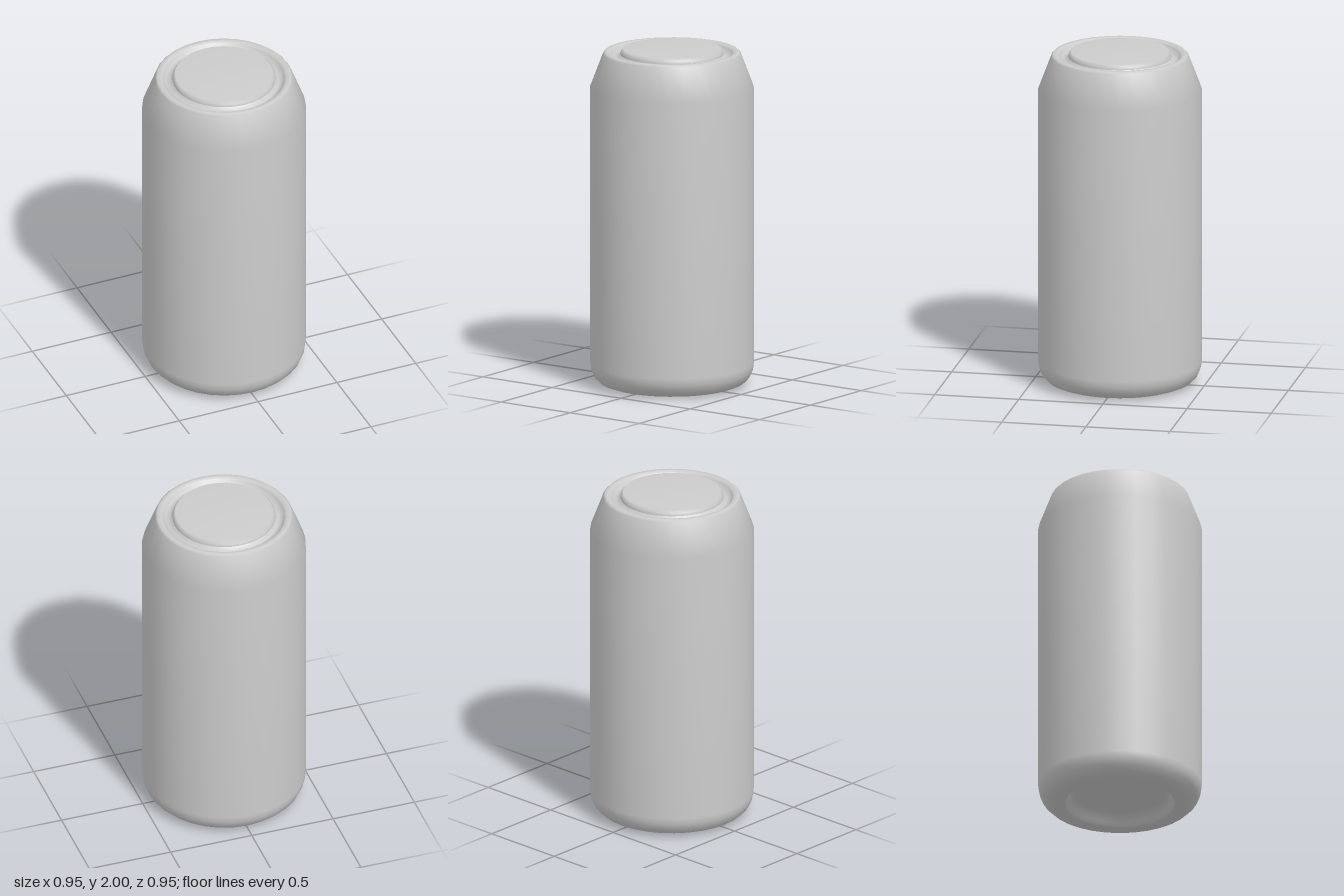
import * as THREE from 'three';

const SIDES = 32;

// Turned part from [radius, height] pairs, listed so that faces point outward
function turned(name, profile, material) {
  const points = profile.map(([r, y]) => new THREE.Vector2(r, y));
  const mesh = new THREE.Mesh(new THREE.LatheGeometry(points, SIDES), material);
  mesh.name = name;
  return mesh;
}

export function createModel() {
  const group = new THREE.Group();
  group.name = 'drinkCan';
  const metal = new THREE.MeshStandardMaterial({ color: 0xcccccc, side: THREE.DoubleSide });

  // Hollow under the can, up to the standing ring
  group.add(turned('baseRecess', [
    [0, 0.1], [0.27, 0.08], [0.3, 0.03], [0.32, 0.01],
  ], metal));

  // Standing ring, rounded foot, straight wall, sloped neck and rolled rim
  group.add(turned('body', [
    [0.32, 0.01], [0.345, 0], [0.385, 0.005], [0.425, 0.02], [0.455, 0.05],
    [0.472, 0.09], [0.477, 0.13], [0.477, 1.77],
    [0.402, 1.968], [0.39, 1.98], [0.368, 1.98], [0.355, 1.97],
  ], metal));

  // Groove between the rim and the lid panel
  group.add(turned('lidGroove', [
    [0.355, 1.97], [0.34, 1.95], [0.318, 1.945], [0.3, 1.965],
  ], metal));

  // Raised lid panel with a bevelled edge
  group.add(turned('lidPanel', [
    [0.3, 1.965], [0.298, 1.982], [0.284, 1.998], [0, 2],
  ], metal));

  return group;
}
